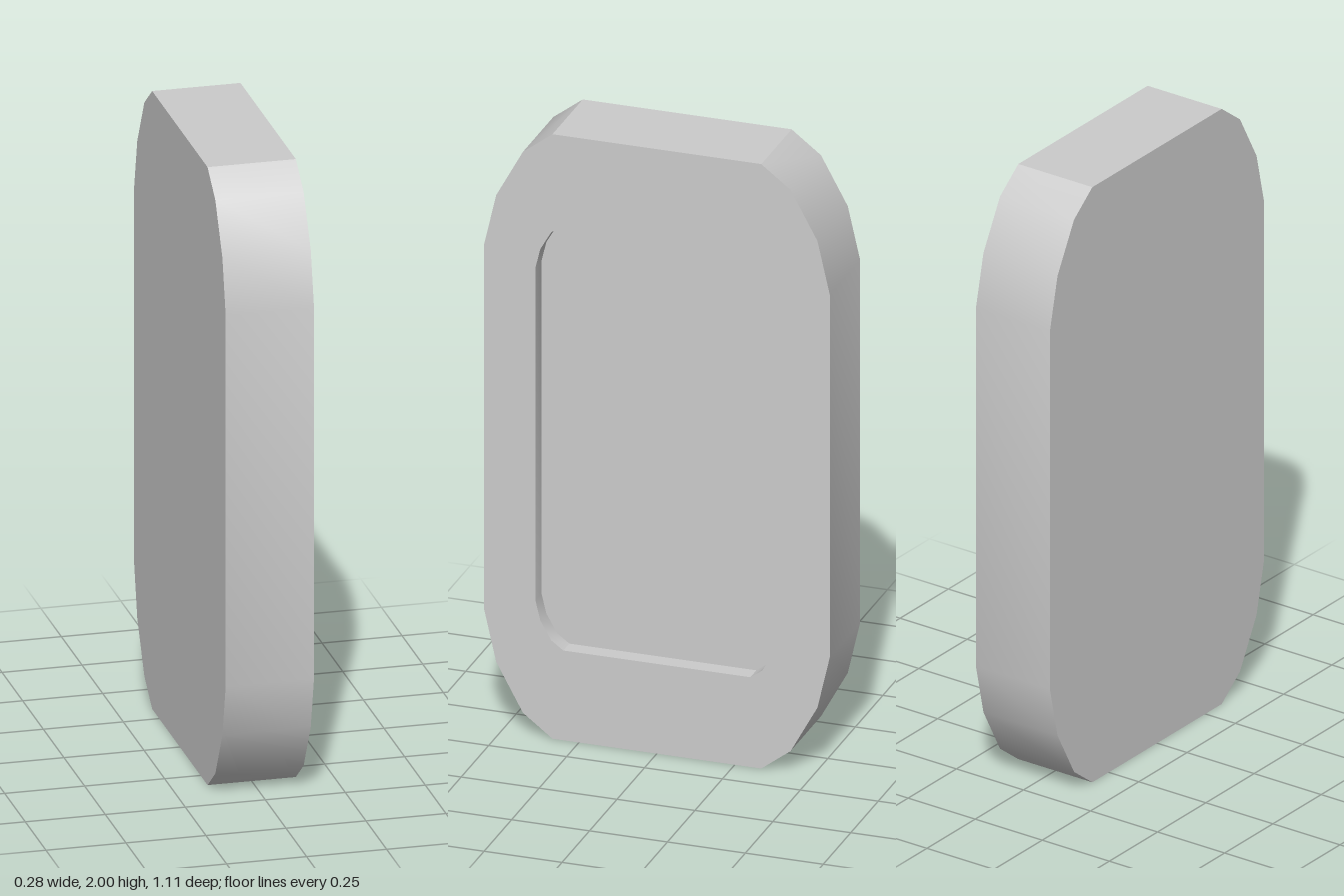
import * as THREE from 'three';
import { toCreasedNormals } from 'three/addons/utils/BufferGeometryUtils.js';

const HALF_THICKNESS = 0.138;
const RECESS_DEPTH = 0.055;
const MID_Y = 1;

// Corner cut as fractions of its width (z) and height (y), from top to side
const CORNER = [[1, 0], [0.57, 0.18], [0.18, 0.57], [0, 1]];

// Faceted rounded rectangle in the zy plane, from the top +z corner downwards
function outline(halfZ, halfY, cutZ, cutY) {
  const quarter = CORNER.map(([u, v]) => [halfZ - u * cutZ, halfY - v * cutY]);
  const mirrored = [...quarter].reverse().map(([z, y]) => [z, -y]);
  const side = [...quarter, ...mirrored];
  return [...side, ...side.map(([z, y]) => [-z, -y])];
}

const ring = (points, x) => points.map(([z, y]) => new THREE.Vector3(x, MID_Y + y, z));
const centre = (points, x) => points.map(() => new THREE.Vector3(x, MID_Y, 0));

// Joins successive loops with triangles, skipping those that collapse to a line
function loft(loops) {
  const corners = [];
  const addTriangle = (a, b, c) => {
    if (!a.equals(b) && !b.equals(c) && !c.equals(a)) corners.push(a, b, c);
  };
  for (let i = 0; i < loops.length - 1; i++) {
    const from = loops[i], to = loops[i + 1];
    from.forEach((a, j) => {
      const k = (j + 1) % from.length;
      addTriangle(a, from[k], to[k]);
      addTriangle(a, to[k], to[j]);
    });
  }
  const geometry = new THREE.BufferGeometry().setFromPoints(corners);
  return toCreasedNormals(geometry, THREE.MathUtils.degToRad(31));
}

export function createModel() {
  const group = new THREE.Group();
  const material = new THREE.MeshStandardMaterial({ color: 0xcccccc });
  const outer = outline(0.555, 1, 0.22, 0.4);
  const inner = outline(0.39, 0.703, 0.09, 0.155);
  const floorX = HALF_THICKNESS - RECESS_DEPTH;

  // Slab: flat back, outer wall, raised rim and recess wall
  const body = new THREE.Mesh(loft([
    centre(outer, -HALF_THICKNESS),
    ring(outer, -HALF_THICKNESS),
    ring(outer, HALF_THICKNESS),
    ring(inner, HALF_THICKNESS),
    ring(inner, floorX),
  ]), material);
  body.name = 'body';

  // Floor of the recess
  const panel = new THREE.Mesh(loft([ring(inner, floorX), centre(inner, floorX)]), material);
  panel.name = 'recessedPanel';

  group.add(body, panel);
  return group;
}
